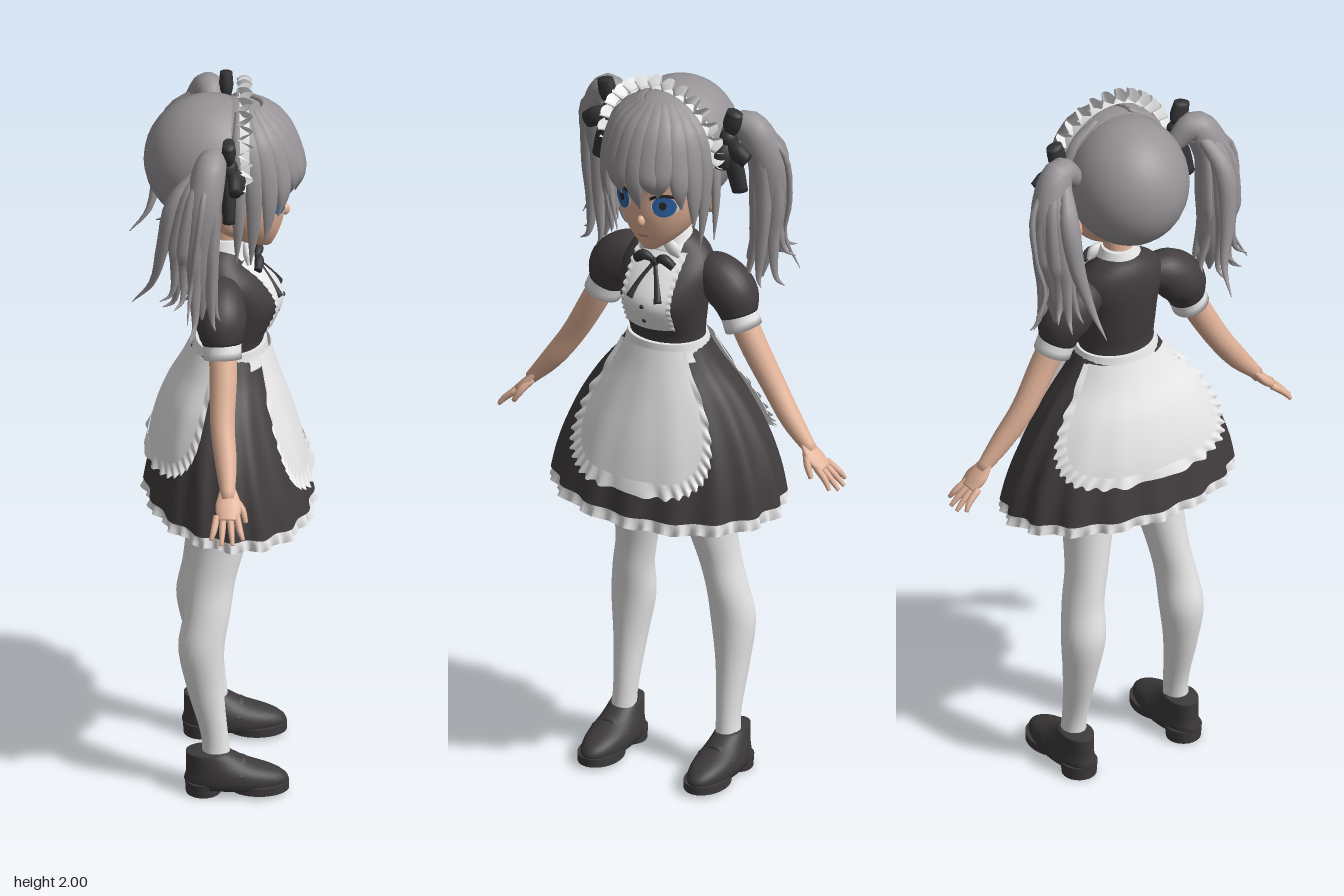
import * as THREE from 'three';

const mat = (name, color, side = THREE.FrontSide) => Object.assign(new THREE.MeshStandardMaterial({ color, side }), { name });
const V = (x, y, z) => new THREE.Vector3(x, y, z);
const { sin, cos, abs, sign, PI, min, max, sqrt } = Math;

// Smooth surface from a rule fn(u, v, j) -> [x, y, z]
function grid(fn, nu, nv, closed) {
  const pos = [], idx = [], n = closed ? nu : nu + 1;
  for (let j = 0; j <= nv; j++) for (let i = 0; i < n; i++) pos.push(...fn(i / nu, j / nv, j));
  for (let j = 0; j < nv; j++) for (let i = 0; i < nu; i++) {
    const k = (i + 1) % n, a = j * n + i, b = j * n + k, c = b + n, d = a + n;
    idx.push(a, b, c, a, c, d);
  }
  const g = new THREE.BufferGeometry();
  g.setAttribute('position', new THREE.Float32BufferAttribute(pos, 3));
  g.setIndex(idx);
  g.computeVertexNormals();
  return g;
}

// Smooth interpolation in rows sorted by their first number
function at(rows, y) {
  let i = 0;
  while (i < rows.length - 2 && y > rows[i + 1][0]) i++;
  const a = rows[i], b = rows[i + 1], h = b[0] - a[0], t = min(1, max(0, (y - a[0]) / h));
  const p = rows[max(0, i - 1)], q = rows[min(rows.length - 1, i + 2)];
  return a.map((A, k) => {
    const B = b[k], m0 = (B - p[k]) / (b[0] - p[0]) * h, m1 = (q[k] - A) / (q[0] - a[0]) * h;
    const t2 = t * t, t3 = t2 * t;
    return (2 * t3 - 3 * t2 + 1) * A + (t3 - 2 * t2 + t) * m0 + (3 * t2 - 2 * t3) * B + (t3 - t2) * m1;
  });
}

// Upright body from ellipse rows [y, rx, rz, zc, xc], closed at both ends
function loft(rows, nu = 32, nv = 26) {
  const y0 = rows[0][0], y1 = rows[rows.length - 1][0];
  return grid((u, v, j) => {
    const y = y0 + (y1 - y0) * min(1, max(0, (j - 1) / (nv - 2)));
    const [, rx, rz, zc = 0, xc = 0] = at(rows, y), k = j === 0 || j === nv ? 0 : 1, a = u * 2 * PI;
    return [xc + k * rx * sin(a), y, zc + k * rz * cos(a)];
  }, nu, nv, true);
}

// Tapered tube through points; w widens it across ref
function sweep(pts, radii, w = 1, ref = V(0, 0, 1), nu = 12, nv = 18) {
  const c = new THREE.CatmullRomCurve3(pts.map(p => V(...p)));
  const rr = radii.map((r, i) => [i / (radii.length - 1), r]);
  return grid((u, v, j) => {
    const t = min(1, max(0, (j - 1) / (nv - 2))), p = c.getPoint(t), d = c.getTangent(t);
    const s = d.clone().cross(ref).normalize(), up = d.clone().cross(s);
    const r = j === 0 || j === nv ? 0 : max(0, at(rr, t)[1]), a = u * 2 * PI;
    return p.addScaledVector(s, r * w * cos(a)).addScaledVector(up, r * sin(a)).toArray();
  }, nu, nv, true);
}

const HEAD = [[1.53, .02, .02, .105], [1.55, .05, .05, .085], [1.59, .088, .09, .06], [1.64, .115, .115, .045],
  [1.7, .13, .125, .035], [1.8, .136, .13, .03], [1.88, .11, .1, .02], [1.92, .06, .05, .02]];
const TORSO = [[1.2, .11, .09, .015], [1.26, .103, .084, .02], [1.32, .11, .102, .03], [1.38, .118, .114, .035],
  [1.45, .126, .094, .012], [1.5, .1, .066, -.008], [1.535, .05, .045, -.008]];
const SKIRT = [[.8, .325, .22, .015], [.9, .306, .2, .01], [1, .268, .177, .005], [1.1, .21, .144, .005], [1.18, .148, .112, .012], [1.25, .106, .087, .018]];
const LEG = [[.08, .034, .038, -.02, .158], [.16, .032, .035, -.026, .154], [.3, .044, .048, -.05, .153], [.42, .058, .06, -.06, .149],
  [.52, .053, .06, -.044, .14], [.6, .053, .062, -.034, .125], [.7, .061, .071, -.016, .11], [.8, .068, .078, -.003, .1], [.95, .075, .08, 0, .085]];
const SHOE = [[.022, .052, .13, .03], [.04, .057, .135, .03], [.062, .055, .12, .02], [.09, .046, .082, -.018], [.12, .039, .054, -.046]];

// Front of a body at x, y
function frontZ(rows, x, y) {
  const [, rx, rz, zc] = at(rows, y);
  return zc + rz * sqrt(max(0, 1 - (x / rx) ** 2));
}
const disc = (rows, cx, cy, w, h, off) => grid((u, v) => {
  const x = cx + (1 - v) * w * cos(u * 2 * PI), y = cy + (1 - v) * h * sin(u * 2 * PI);
  return [x, y, frontZ(rows, x, y) + off];
}, 24, 4, true);
const panel = (rows, cx, cy, w, h, off, bend = 0) => grid((u, v) => {
  const x = cx + (u * 2 - 1) * w, y = cy + (v * 2 - 1) * h - bend * (u * 2 - 1) ** 2;
  return [x, y, frontZ(rows, x, y) + off];
}, 14, 14);

// Point on the pleated skirt
function onSkirt(a, y, off = 0, pleat = .03) {
  const [, rx, rz, zc] = at(SKIRT, y), k = max(0, 1.25 - y) / .45, p = 1 + pleat * k * cos(16 * a);
  return [(rx * p + off) * sin(a), y - .02 * k * k * cos(a), zc + (rz * p + off) * cos(a)];
}

export function createModel() {
  const M = {
    skin: mat('skin', 0xe2b399), hair: mat('hair', 0x979396, THREE.DoubleSide),
    white: mat('white cloth', 0xf0f0f0, THREE.DoubleSide), dress: mat('dark cloth', 0x423d3e, THREE.DoubleSide),
    shoe: mat('shoe leather', 0x3d3a3b), ribbon: mat('ribbon', 0x343336),
    blue: mat('iris blue', 0x2f64a6), lash: mat('lash', 0x2b2628), mouth: mat('mouth', 0xa8665a),
  };
  const body = new THREE.Group();
  body.name = 'figure';
  const add = (name, geo, m, p) => {
    const o = new THREE.Mesh(geo, m);
    o.name = name;
    if (p) o.position.set(...p);
    body.add(o);
    return o;
  };
  const ball = (name, m, p, r) => { const o = add(name, new THREE.SphereGeometry(1, 32, 20), m, p); o.scale.set(...r); return o; };

  // Bodice, collar, belt and bib
  add('bodice', loft(TORSO), M.dress);
  add('neck', loft([[1.48, .045, .045, 0], [1.54, .04, .04, .005], [1.62, .042, .045, .02]]), M.skin);
  add('collar', loft([[1.5, .078, .066, 0], [1.52, .062, .057, 0], [1.555, .047, .047, .004]]), M.white);
  add('waistband', loft([[1.205, .13, .104, .016], [1.23, .116, .097, .018], [1.255, .109, .092, .02]]), M.white);
  add('bib', panel(TORSO, 0, 1.402, .062, .1, .006), M.white);
  for (const y of [1.33, 1.375]) ball('button', M.ribbon, [0, y, frontZ(TORSO, 0, y) + .006], [.006, .006, .004]);

  // Skirt, hem frill and petticoat
  add('skirt', grid((u, v) => onSkirt(u * 2 * PI, .82 + .43 * v), 144, 20, true), M.dress);
  add('hemFrill', grid((u, v) => {
    const a = u * 2 * PI, w = (1 - v) * cos(40 * a);
    return onSkirt(a, .8 + .035 * v + .005 * w, -.004 + .01 * w);
  }, 240, 4, true).translate(0, -.012, 0), M.white);
  add('petticoat', grid((u, v) => onSkirt(u * 2 * PI, .805 + .08 * v, -.018 + .006 * cos(u * 80 * PI) * (1 - v)), 240, 4, true), M.white);

  // Front and back aprons with gathered frills
  const apron = (name, mid, A, drop, e) => {
    const pt = (u, k, off) => {
      const f = PI * (1 + u), c = cos(f);
      return onSkirt(mid + k * A * sign(c) * abs(c) ** e, 1.24 - k * drop * abs(sin(f)) ** e, off, .012);
    };
    add(name, grid((u, v) => pt(u, v, .014), 90, 16), M.white);
    add(name + 'Frill', grid((u, v) => pt(u, .98 + (.1 + .008 * sin(u * 150)) * v, .016 + .005 * v * (1 + sin(u * 150))), 300, 3), M.white);
  };
  apron('frontApron', 0, .76, .33, .5);
  apron('backApron', PI, 1.12, .285, .55);

  // Head and face
  add('head', loft(HEAD, 40, 36), M.skin);
  ball('nose', M.skin, [0, 1.626, .158], [.011, .016, .014]);
  add('mouth', panel(HEAD, 0, 1.578, .014, .002, .003, -.003), M.mouth);

  // Hair cap, front cap and fringe locks
  ball('hairCap', M.hair, [0, 1.778, -.035], [.158, .174, .172]);
  add('frontHair', new THREE.SphereGeometry(1, 40, 14, 0, 2 * PI, 0, 1.4), M.hair, [0, 1.785, .036]).scale.set(.15, .158, .145);
  const lock = (th, y, w, sway = 0) => {
    const s = sin(th), c = cos(th);
    add('fringeLock', sweep([[s * .05, 1.938, .04 + c * .06], [s * .122, 1.88, .04 + c * .12], [s * .148, 1.79, .04 + c * .157],
      [s * .15 + sway * .5, (1.79 + y) / 2, .04 + c * .162], [s * .14 + sway, y, .035 + c * .15]],
    [.007, .012, .013, .01, .001], w, V(s, 0, c)), M.hair);
  };
  lock(0, 1.675, 2.2, .012);
  for (const s of [-1, 1]) {
    [[.26, 1.71, 2.3, .012], [.52, 1.695, 2.2, -.016], [.8, 1.665, 2.1, .01], [1.08, 1.6, 2, .004], [1.35, 1.53, 1.8, -.012], [1.6, 1.54, 1.5, .004]]
      .forEach(([th, y, w, d]) => lock(s * th, y + (s > 0 ? .012 : 0), w, s * d));

    // Eyes, lashes, brows and ears
    add('eyeWhite', disc(HEAD, s * .062, 1.675, .032, .026, .002), M.white);
    add('iris', disc(HEAD, s * .062, 1.676, .028, .03, .005), M.blue);
    add('pupil', disc(HEAD, s * .061, 1.68, .009, .012, .007), M.lash);
    add('lash', panel(HEAD, s * .064, 1.709, .036, .005, .007, .012), M.lash);
    add('brow', panel(HEAD, s * .062, 1.745, .03, .003, .004, .006), M.hair);
    ball('ear', M.skin, [s * .13, 1.655, .01], [.014, .036, .024]).rotation.z = -s * .2;

    // Pigtail with loose strands
    add('pigtail', sweep([[s * .14, 1.82, -.02], [s * .205, 1.87, -.035], [s * .247, 1.79, -.055], [s * .247, 1.65, -.075], [s * .235, 1.53, -.07], [s * .235, 1.43, -.06]],
      [.02, .04, .048, .048, .036, .003], 1.05, V(0, 0, 1), 20, 30), M.hair);
    for (let i = 0; i < 8; i++) {
      const a = i * 2.4 + (s > 0 ? .5 : 0), x = cos(a), z = sin(a), e = (i % 3) * .035;
      add('strand', sweep([[s * .195, 1.87, -.035], [s * (.243 + .026 * x), 1.81, -.06 + .035 * z], [s * (.25 + .036 * x), 1.66, -.08 + .05 * z],
        [s * (.245 + .03 * x), 1.54 + e, -.08 + .05 * z], [s * (.24 + .05 * x), 1.44 + e, -.08 + .06 * z], [s * (.25 + .065 * x), 1.425 + e, -.09 + .08 * z]],
      [.008, .017, .018, .014, .006, .001], 1.2, V(x, 0, z), 8, 24), M.hair);
    }
    add('backStrand', sweep([[s * .2, 1.87, -.05], [s * .235, 1.78, -.13], [s * .23, 1.65, -.16], [s * .2, 1.52, -.19], [s * .19, 1.46, -.24]],
      [.01, .022, .018, .008, .001], 1.2), M.hair);
    add('outerStrand', sweep([[s * .21, 1.88, -.04], [s * .3, 1.8, -.06], [s * .305, 1.66, -.08], [s * .285, 1.55, -.09], [s * .325, 1.46, -.1]],
      [.006, .008, .008, .006, .001]), M.hair);

    // Hair bow: knot, loops and tails
    ball('hairBowKnot', M.ribbon, [s * .175, 1.845, .008], [.024, .026, .026]);
    for (const [x, y, z] of [[.195, 1.925, .01], [.24, 1.8, .025], [.165, 1.77, .035], [.21, 1.7, .01]])
      add('hairBowLoop', sweep([[s * .175, 1.845, .008], [s * (.175 + x) / 2, (1.845 + y) / 2, z], [s * x, y, z]], [.007, .018, .016], 1.4, V(0, 0, 1), 12, 12), M.ribbon);

    // Sleeve, cuff and arm
    add('puffSleeve', sweep([[s * .08, 1.445, -.01], [s * .13, 1.432, -.01], [s * .177, 1.39, -.01], [s * .197, 1.335, -.008]],
      [.04, .06, .066, .05], 1, V(0, 0, 1), 24, 20), M.dress);
    add('cuff', sweep([[s * .187, 1.362, -.008], [s * .211, 1.3, -.006]], [.049, .05], 1, V(0, 0, 1), 24, 6), M.white);
    add('arm', sweep([[s * .17, 1.4, -.01], [s * .235, 1.27, -.005], [s * .3, 1.155, -.008], [s * .36, 1.07, 0], [s * .42, 1, .004]],
      [.036, .036, .032, .028, .017], 1, V(0, 0, 1), 18, 22), M.skin);

    // Hand
    const flat = V(s, 1, 0).normalize();
    add('palm', sweep([[s * .395, 1.028, .003], [s * .43, .985, .005], [s * .46, .957, .003]], [.007, .014, .011], 2.4, flat), M.skin);
    [-.026, -.009, .009, .026].forEach((z, i) => add('finger', sweep([[s * .448, .966, z], [s * .48, .94, z * 1.3], [s * (i % 3 ? .508 : .495), i % 3 ? .912 : .92, z * 1.6]],
      [.009, .0085, .005], 1, flat, 8, 8), M.skin));
    add('thumb', sweep([[s * .412, 1.003, .015], [s * .43, .975, .04], [s * .446, .945, .05]], [.011, .01, .006], 1, flat, 8, 8), M.skin);

    // Stocking and shoe
    add('stocking', loft(LEG.map(([y, rx, rz, zc, xc]) => [y, rx, rz, zc, s * xc]), 28, 40), M.white);
    add('shoeUpper', loft(SHOE.map(r => [...r, s * .159]), 32, 16), M.shoe);
    add('shoeSole', new THREE.CylinderGeometry(1, 1, .022, 32), M.shoe, [s * .159, .02, .09]).scale.set(.056, 1, .077);
    add('shoeHeel', new THREE.CylinderGeometry(1, .95, .036, 24), M.shoe, [s * .159, .018, -.055]).scale.set(.048, 1, .048);
    add('shoeStrap', sweep([[s * .159 - .052, .06, .035], [s * .159, .095, .04], [s * .159 + .052, .06, .035]], [.007, .008, .007], 2.2, V(0, 1, 0)), M.shoe);

    // Neck bow, collar points and bib frills
    add('collarPoint', sweep([[s * .012, 1.528, .056], [s * .04, 1.512, .062], [s * .058, 1.492, .062]], [.008, .012, .003], 1.6), M.white);
    add('neckBowLoop', sweep([[0, 1.478, .085], [s * .03, 1.492, .092], [s * .056, 1.474, .088]], [.005, .012, .01], 1.2), M.ribbon);
    add('neckBowTail', sweep([[0, 1.478, .088], [s * .022, 1.435, .115], [s * .042, 1.39, .146]], [.004, .008, .009], 1.2), M.ribbon);
    add('bibFrill', grid((u, v) => {
      const y = 1.302 + .2 * v, x = s * (.06 + (.013 + .002 * sin(v * 70)) * u);
      return [x, y, frontZ(TORSO, x, y) + .006 + .003 * u * (1 + sin(v * 70))];
    }, 3, 80), M.white);
  }
  ball('neckBowKnot', M.ribbon, [0, 1.478, .09], [.012, .012, .009]);

  // Frilled headdress
  const arc = (r, a, z) => [r * .93 * cos(a), 1.797 + r * sin(a), z];
  add('headdressBand', grid((u, v) => arc(.168, -.15 + u * (PI + .3), .04 + .025 * v), 60, 2), M.white);
  add('headdressFrill', grid((u, v) => {
    const w = sin(u * 30 * PI);
    return arc(.163 + .034 * v + .005 * v * cos(u * 60 * PI), -.1 + u * (PI + .2), .055 + .02 * w * (.4 + .6 * v));
  }, 360, 4), M.white);

  // Turn the figure to face +x
  body.rotation.y = PI / 2;
  const model = new THREE.Group();
  model.name = 'maidFigure';
  model.add(body);
  return model;
}
